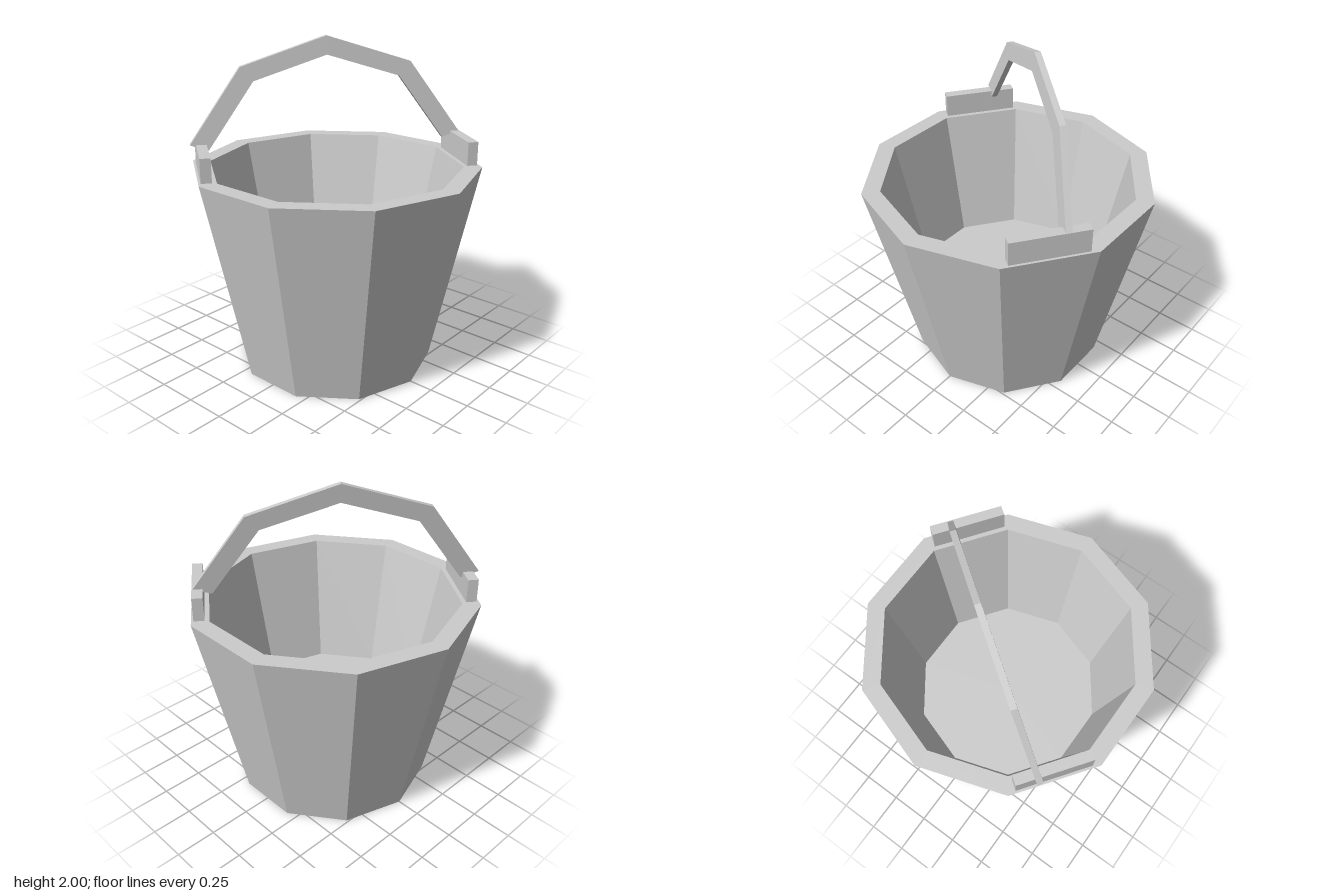
import * as THREE from 'three';

export function createModel() {
  const model = new THREE.Group();
  model.name = 'pail';
  const material = new THREE.MeshStandardMaterial({ color: 0xcccccc, flatShading: true });
  const add = (parent, name, geometry) => {
    const mesh = new THREE.Mesh(geometry, material);
    mesh.name = name;
    parent.add(mesh);
    return mesh;
  };

  // Ten-sided tapered body: underside, outer wall, rim, inner wall, raised floor
  const profile = [[0, 0], [0.603, 0], [0.873, 1.257], [0.765, 1.257], [0.593, 0.455], [0, 0.455]];
  add(model, 'bucketBody', new THREE.LatheGeometry(profile.map(([r, y]) => new THREE.Vector2(r, y)), 10));

  // Handle assembly turned to sit over two opposite wall panels
  const top = new THREE.Group();
  top.name = 'handleAssembly';
  top.rotation.y = -Math.PI / 5;
  model.add(top);

  // Blocks on the rim that hold the handle
  for (const side of [1, -1]) {
    const block = add(top, side > 0 ? 'leftHandleBlock' : 'rightHandleBlock', new THREE.BoxGeometry(0.062, 0.143, 0.446));
    block.position.set(side * 0.785, 1.3285, 0);
  }

  // Angular handle: mirrored half outlines (outer edge, then inner edge)
  const mirror = half => [...half, ...half.slice(0, -1).reverse().map(([x, y]) => [-x, y])];
  const outer = mirror([[0.83, 1.4], [0.518, 1.836], [0, 2]]);
  const inner = mirror([[0.722, 1.365], [0.444, 1.752], [0, 1.89]]).reverse();
  const outline = new THREE.Shape([...outer, ...inner].map(([x, y]) => new THREE.Vector2(x, y)));
  const depth = 0.036;
  const handle = new THREE.ExtrudeGeometry(outline, { depth, bevelEnabled: false });

  // Lean the handle slightly to one side
  const p = handle.attributes.position;
  for (let i = 0; i < p.count; i++) {
    p.setZ(i, p.getZ(i) - depth / 2 - 0.097 - 0.11 * (p.getY(i) - 1.4));
  }
  handle.computeVertexNormals();
  add(top, 'handle', handle).position.x = -0.02;

  return model;
}
